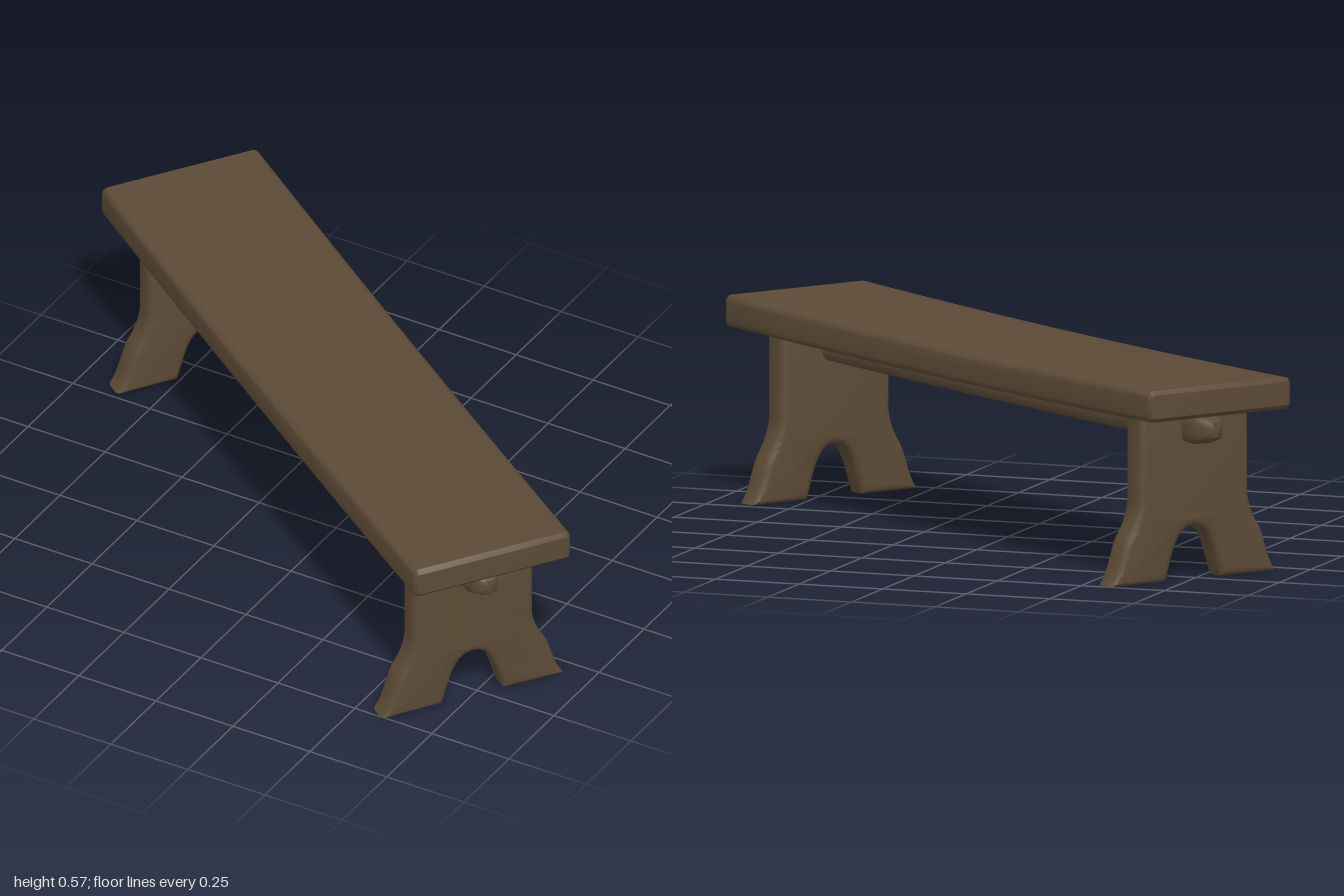
import * as THREE from 'three';
import { toCreasedNormals, mergeVertices } from 'three/addons/utils/BufferGeometryUtils.js';

// Extrude an outline to a total depth centred on z = 0, with rounded edges
function roundedSlab(shape, depth, bevel, curveSegments) {
  const geo = new THREE.ExtrudeGeometry(shape, {
    depth: depth - 2 * bevel, bevelEnabled: true, bevelThickness: bevel,
    bevelSize: bevel, bevelOffset: -bevel, bevelSegments: 3, curveSegments,
  });
  geo.translate(0, 0, -(depth - 2 * bevel) / 2);
  return toCreasedNormals(geo, 0.7);
}

// Plank that sags a little in the middle
function seatGeometry() {
  const U = 1.06, top = 0.57, bottom = 0.48, sag = 0.02, c = 0.012;
  const s = new THREE.Shape();
  s.moveTo(-U + c, bottom);
  s.quadraticCurveTo(0, bottom - sag, U - c, bottom);
  s.lineTo(U, bottom + c);
  s.lineTo(U, top - c);
  s.lineTo(U - c, top);
  s.quadraticCurveTo(0, top - sag, -U + c, top);
  s.lineTo(-U, top - c);
  s.lineTo(-U, bottom + c);
  s.closePath();
  return roundedSlab(s, 0.484, 0.018, 16);
}

// Board leg with flared feet and a pointed arch between them
function legGeometry() {
  const s = new THREE.Shape();
  s.moveTo(-0.185, 0.5);
  s.lineTo(-0.185, 0.235);
  s.quadraticCurveTo(-0.19, 0.19, -0.214, 0.15);
  s.bezierCurveTo(-0.245, 0.11, -0.245, 0.05, -0.28, 0);
  s.lineTo(-0.095, 0);
  s.bezierCurveTo(-0.07, 0.06, -0.065, 0.15, 0, 0.152);
  s.bezierCurveTo(0.065, 0.15, 0.07, 0.06, 0.095, 0);
  s.lineTo(0.28, 0);
  s.bezierCurveTo(0.245, 0.05, 0.245, 0.11, 0.214, 0.15);
  s.quadraticCurveTo(0.19, 0.19, 0.185, 0.235);
  s.lineTo(0.185, 0.5);
  s.closePath();
  const geo = roundedSlab(s, 0.08, 0.02, 8);
  geo.rotateY(Math.PI / 2);
  return geo;
}

// Squarish beam with tapered ends, lying along x
function stretcherGeometry() {
  const half = [[0, 1.032], [0.022, 1.03], [0.03, 1.022], [0.046, 0.98], [0.048, 0.965], [0.048, 0.85], [0.049, 0.4]];
  const mirrored = half.map(([r, u]) => [r, -u]);
  const profile = [...mirrored, [0.049, 0], ...half.reverse()].map(([r, u]) => new THREE.Vector2(r, u));
  let geo = new THREE.LatheGeometry(profile, 24);
  const p = geo.attributes.position;
  for (let i = 0; i < p.count; i++) {
    const x = p.getX(i), z = p.getZ(i), r = Math.hypot(x, z);
    if (r < 1e-6) continue;
    // Push the round section towards a square with soft corners
    const k = r / Math.pow(x ** 4 + z ** 4, 0.25);
    const sag = 0.004 * (1 - p.getY(i) ** 2);
    p.setXYZ(i, x * k * 0.93 + sag, p.getY(i), z * k);
  }
  geo.deleteAttribute('normal');
  geo.deleteAttribute('uv');
  geo = mergeVertices(geo, 1e-4);
  geo.rotateZ(-Math.PI / 2);
  return toCreasedNormals(geo, 0.7);
}

export function createModel() {
  const wood = new THREE.MeshStandardMaterial({ color: 0x5c4a36 });
  wood.name = 'dark wood';
  const bench = new THREE.Group();
  bench.name = 'bench';

  const add = (name, geo, x = 0, y = 0) => {
    const mesh = new THREE.Mesh(geo, wood);
    mesh.name = name;
    mesh.position.set(x, y, 0);
    bench.add(mesh);
  };

  add('seat', seatGeometry());
  const leg = legGeometry();
  add('leftLeg', leg, 0.89);
  add('rightLeg', leg, -0.89);
  add('stretcher', stretcherGeometry(), 0, 0.436);

  // The bench stands diagonally
  bench.rotation.y = -0.612;
  const model = new THREE.Group();
  model.name = 'benchModel';
  model.add(bench);
  return model;
}
